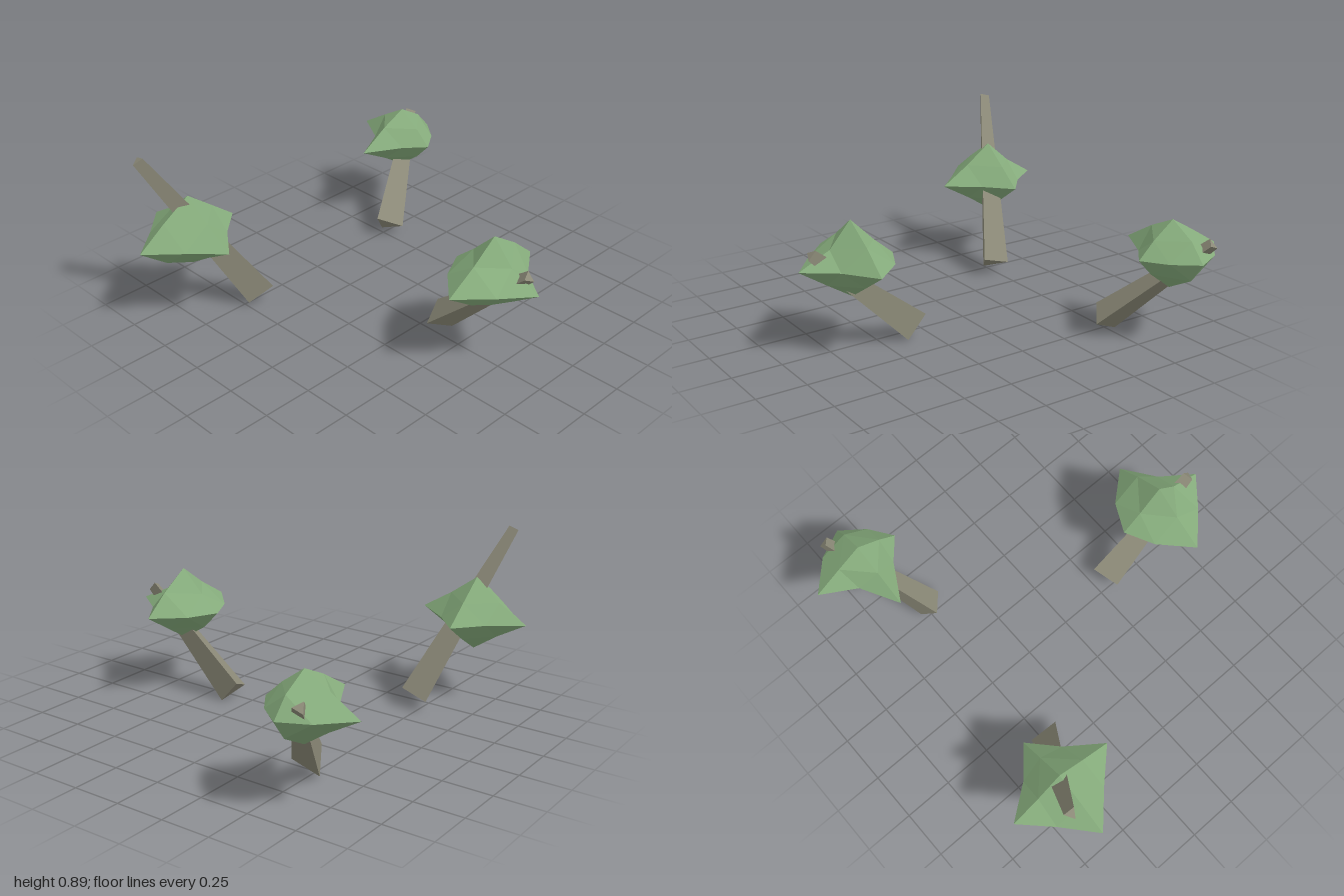
import * as THREE from 'three';

const leafMaterial = new THREE.MeshStandardMaterial({ color: 0x86ac7c, flatShading: true });
const trunkMaterial = new THREE.MeshStandardMaterial({ color: 0x8c8a78, flatShading: true });
const V = (a) => new THREE.Vector3(...a);

// Tip reach is [minus, plus] per axis; edge reach is [--, -+, +-, ++] per pair of axes.
const trees = [
  {
    name: 'backTree', center: [-0.64, 0.455, -0.79],
    base: [-0.479, 0.064, -0.511], top: [-0.737, 0.525, -0.958], corner: [0.866, 0, -0.5],
    x: [0.28, 0.2], y: [0.246, 0.236], z: [0.21, 0.3],
    xz: [0.142, 0.105, 0.118, 0.107], xy: [0.125, 0.13, 0.12, 0.115], yz: [0.14, 0.13, 0.13, 0.14],
  },
  {
    name: 'leftTree', center: [0.65, 0.455, -0.05],
    base: [0.328, 0.064, -0.05], top: [0.857, 0.528, -0.05], corner: [0, 0, 1],
    x: [0.22, 0.27], y: [0.246, 0.288], z: [0.275, 0.3],
    xz: [0.147, 0.147, 0.115, 0.148], xy: [0.13, 0.12, 0.13, 0.11], yz: [0.13, 0.147, 0.15, 0.14],
  },
  {
    name: 'frontTree', center: [-0.64, 0.455, 0.69],
    base: [-0.478, 0.066, 0.417], top: [-0.74, 0.88, 0.88], corner: [0.003, -0.04, 0.078],
    x: [0.28, 0.294], y: [0.246, 0.288], z: [0.26, 0.3],
    xz: [0.12, 0.14, 0.125, 0.145], xy: [0.125, 0.13, 0.13, 0.14], yz: [0.13, 0.155, 0.137, 0.152],
  },
];

// Spiky crown: an octahedron split once, with uneven tips and edge points, flattened in y
function makeCrown(t) {
  const points = [];
  const tip = (list, s) => s * list[s > 0 ? 1 : 0];
  const edge = (list, a, b) => list[(a > 0 ? 2 : 0) + (b > 0 ? 1 : 0)];
  for (const sx of [-1, 1]) for (const sy of [-1, 1]) for (const sz of [-1, 1]) {
    const X = [tip(t.x, sx), 0, 0], Y = [0, tip(t.y, sy), 0], Z = [0, 0, tip(t.z, sz)];
    const xy = edge(t.xy, sx, sy), yz = edge(t.yz, sy, sz), xz = edge(t.xz, sx, sz);
    const XY = [sx * xy, sy * xy, 0], YZ = [0, sy * yz, sz * yz], XZ = [sx * xz, 0, sz * xz];
    for (const [a, b, c] of [[X, XY, XZ], [XY, Y, YZ], [XZ, YZ, Z], [XY, YZ, XZ]]) {
      points.push(...(sx * sy * sz > 0 ? [a, b, c] : [a, c, b]).map(V));
    }
  }
  const geometry = new THREE.BufferGeometry().setFromPoints(points);
  geometry.scale(1, 0.7, 1);
  geometry.computeVertexNormals();
  const crown = new THREE.Mesh(geometry, leafMaterial);
  crown.name = 'crown';
  crown.position.set(...t.center);
  return crown;
}

// Leaning three-sided trunk, one corner turned towards the given direction
function makeTrunk(t) {
  const base = V(t.base), top = V(t.top);
  const axis = top.clone().sub(base);
  const length = axis.length();
  axis.normalize();
  const side = new THREE.Vector3().crossVectors(axis, V(t.corner)).normalize();
  const out = new THREE.Vector3().crossVectors(side, axis);
  const trunk = new THREE.Mesh(new THREE.CylinderGeometry(0.032, 0.087, length, 3), trunkMaterial);
  trunk.name = 'trunk';
  trunk.quaternion.setFromRotationMatrix(new THREE.Matrix4().makeBasis(side, axis, out));
  trunk.position.copy(base).lerp(top, 0.5);
  return trunk;
}

export function createModel() {
  const model = new THREE.Group();
  model.name = 'treeCluster';
  for (const t of trees) {
    const tree = new THREE.Group();
    tree.name = t.name;
    tree.add(makeTrunk(t), makeCrown(t));
    model.add(tree);
  }
  return model;
}
